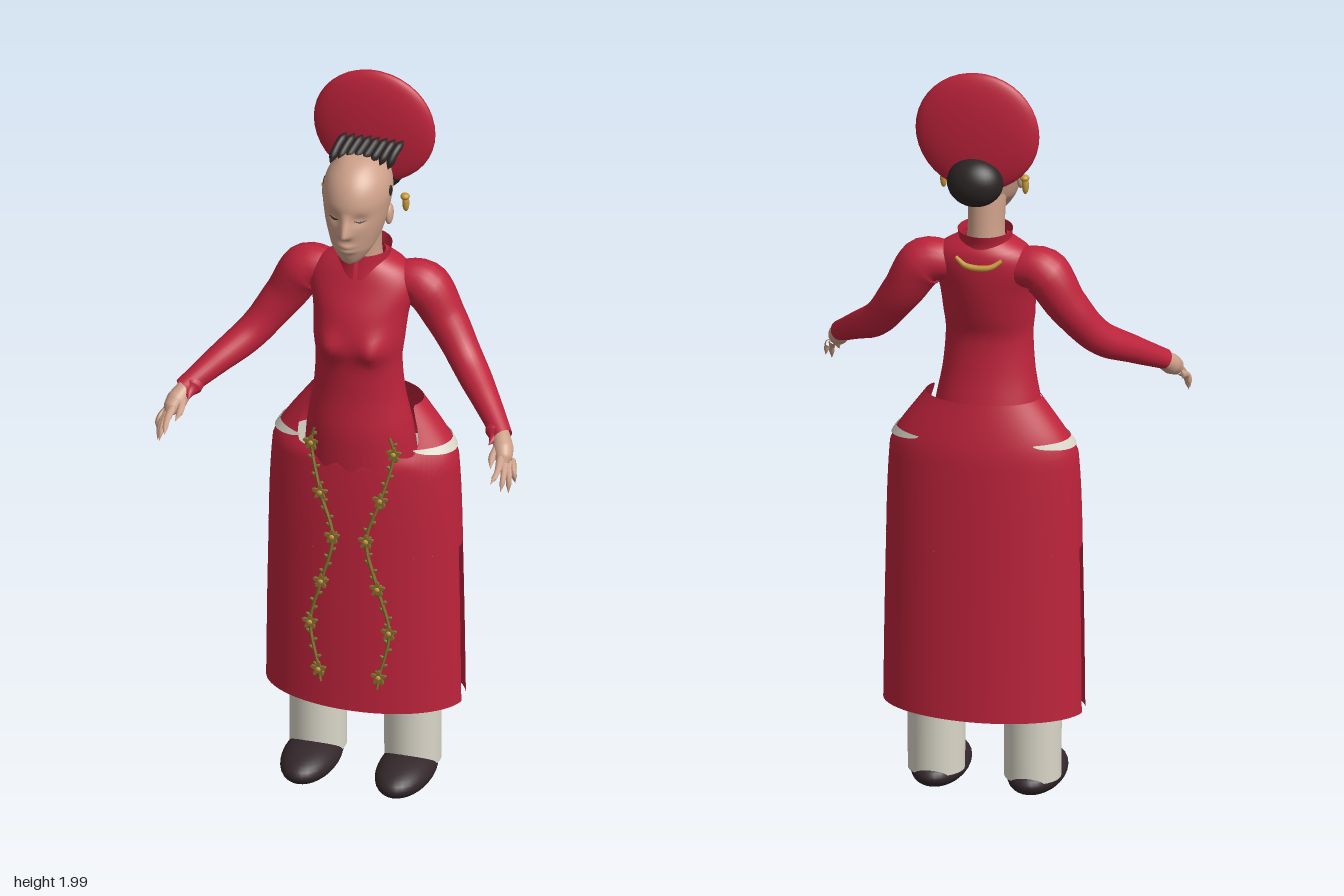
import * as THREE from 'three';

const mat = (name, color, side = THREE.FrontSide) => {
  const m = new THREE.MeshStandardMaterial({ color, side });
  m.name = name;
  return m;
};

// Cross-sections as [y, half width, front z, back z]
const TORSO = [[0.93, 0.15, 0.052, -0.16], [1.05, 0.138, 0.055, -0.14], [1.15, 0.12, 0.047, -0.118],
  [1.25, 0.113, 0.05, -0.11], [1.3, 0.118, 0.06, -0.125], [1.38, 0.125, 0.045, -0.145],
  [1.45, 0.14, 0.015, -0.155], [1.495, 0.115, -0.003, -0.152], [1.53, 0.055, -0.02, -0.13]];
const SKIRT = [[0.25, 0.262, 0.06, -0.24], [0.6, 0.257, 0.053, -0.23], [0.95, 0.245, 0.04, -0.22],
  [1.0, 0.222, 0.02, -0.213], [1.1, 0.15, -0.005, -0.19]];
const HEAD = [[1.556, 0.012, 0.06, 0.02], [1.566, 0.03, 0.07, -0.01], [1.6, 0.054, 0.084, -0.05],
  [1.62, 0.064, 0.088, -0.085], [1.66, 0.076, 0.091, -0.105], [1.7, 0.084, 0.091, -0.12],
  [1.74, 0.088, 0.089, -0.13], [1.78, 0.08, 0.073, -0.127], [1.81, 0.06, 0.045, -0.11],
  [1.828, 0.036, 0.01, -0.075], [1.835, 0.001, -0.03, -0.032]];
const NECK = [[1.46, 0.062, -0.01, -0.13], [1.53, 0.048, -0.018, -0.12], [1.64, 0.05, -0.01, -0.105]];
const COLLAR = [[1.48, 0.078, 0.004, -0.152], [1.51, 0.068, 0.0, -0.145], [1.545, 0.07, -0.003, -0.155]];

// Smooth interpolation between cross-sections
function section(rows, y) {
  let i = 0;
  while (i < rows.length - 2 && y > rows[i + 1][0]) i++;
  const a = rows[i], b = rows[i + 1], h = b[0] - a[0];
  const t = THREE.MathUtils.clamp((y - a[0]) / h, 0, 1);
  const slope = (j, k) => {
    const p = rows[Math.max(j - 1, 0)], q = rows[Math.min(j + 1, rows.length - 1)];
    return (q[k] - p[k]) / (q[0] - p[0]);
  };
  return [1, 2, 3].map(k => a[k] * (1 + 2 * t) * (1 - t) ** 2 + b[k] * t * t * (3 - 2 * t)
    + h * (slope(i, k) * t * (1 - t) ** 2 + slope(i + 1, k) * t * t * (t - 1)));
}
function surface(rows, a, y, grow = 1) {
  const [rx, zf, zb] = section(rows, y);
  return new THREE.Vector3(Math.max(rx, 0) * Math.sin(a) * grow, y,
    (zf + zb) / 2 + (zf - zb) / 2 * Math.cos(a) * grow);
}
function frontZ(rows, x, y) {
  const [rx] = section(rows, y);
  return surface(rows, Math.asin(THREE.MathUtils.clamp(x / rx, -1, 1)), y).z;
}

// Skin over the cross-sections; angle 0 faces front, a positive angle turns to +x
function loft(rows, { y0 = rows[0][0], y1 = rows.at(-1)[0], a0 = -Math.PI, a1 = Math.PI,
  nu = 48, nv = 24, grow = 1, tweak = null }) {
  const closed = a1 - a0 > 6.28, cols = closed ? nu : nu + 1, pos = [], idx = [];
  const at = (v, a) => (typeof v === 'function' ? v(a) : v);
  for (let j = 0; j <= nv; j++) for (let i = 0; i < cols; i++) {
    const a = a0 + (a1 - a0) * i / nu, t = (1 - Math.cos(Math.PI * j / nv)) / 2;
    const p = surface(rows, a, THREE.MathUtils.lerp(at(y0, a), at(y1, a), t), grow);
    if (tweak) tweak(p, a);
    pos.push(p.x, p.y, p.z);
  }
  for (let j = 0; j < nv; j++) for (let i = 0; i < nu; i++) {
    const p = j * cols + i, q = j * cols + (i + 1) % cols;
    idx.push(p, q, q + cols, p, q + cols, p + cols);
  }
  const g = new THREE.BufferGeometry();
  g.setAttribute('position', new THREE.Float32BufferAttribute(pos, 3));
  g.setIndex(idx);
  g.computeVertexNormals();
  return g;
}

// Tube whose radius changes along its path
function limb(points, radii, n = 24, sides = 16) {
  const curve = new THREE.CatmullRomCurve3(points.map(p => new THREE.Vector3(...p)));
  const g = new THREE.TubeGeometry(curve, n, 1, sides), pos = g.attributes.position, v = new THREE.Vector3();
  for (let i = 0; i < pos.count; i++) {
    const t = Math.floor(i / (sides + 1)) / n, f = t * (radii.length - 1), k = Math.min(Math.floor(f), radii.length - 2);
    const c = curve.getPointAt(t), r = THREE.MathUtils.lerp(radii[k], radii[k + 1], f - k);
    v.fromBufferAttribute(pos, i).sub(c).multiplyScalar(r).add(c);
    pos.setXYZ(i, v.x, v.y, v.z);
  }
  g.computeVertexNormals();
  return g;
}
const ball = (x, y, z) => new THREE.SphereGeometry(1, 32, 20).scale(x, y, z);
const bump = (d, w) => Math.exp(-((d / w) ** 2));

export function createModel() {
  const red = mat('red cloth', 0xbe233b, THREE.DoubleSide), skin = mat('skin', 0xcda089);
  const white = mat('white cloth', 0xdad6c8, THREE.DoubleSide), shoeMat = mat('dark shoe', 0x33272a);
  const hair = mat('black hair', 0x2a2423), gold = mat('gold', 0xc4973a), thread = mat('olive thread', 0x84702f);
  const model = new THREE.Group();
  const add = (name, geo, material, x = 0, y = 0, z = 0) => {
    const m = new THREE.Mesh(geo, material);
    m.name = name;
    m.position.set(x, y, z);
    model.add(m);
    return m;
  };

  // Head with nose, eye sockets and lips
  add('head', loft(HEAD, { nu: 96, nv: 72, tweak: (p, a) => {
    if (Math.cos(a) < 0.2) return;
    const ny = p.y > 1.655 ? Math.max(0, 1 - (p.y - 1.655) / 0.06) : Math.max(0, 1 - (1.655 - p.y) / 0.014);
    p.z += 0.026 * ny * bump(p.x, 0.014) + 0.008 * bump(p.x, 0.022) * (bump(p.y - 1.621, 0.006) + bump(p.y - 1.606, 0.006));
    p.z -= 0.009 * bump(Math.abs(p.x) - 0.034, 0.02) * bump(p.y - 1.697, 0.016);
  } }), skin);
  add('neck', loft(NECK, {}), skin);

  // Tunic with bust and ragged front hem
  add('tunic', loft(TORSO, { nu: 80, nv: 48,
    y0: a => 0.965 - 0.025 * Math.abs(((Math.abs(a) * 4) % 2) - 1),
    tweak: (p, a) => {
      if (Math.cos(a) > 0) p.z += 0.02 * bump(Math.abs(p.x) - 0.06, 0.032) * bump(p.y - 1.3, 0.035);
    } }), red);
  add('collar', loft(COLLAR, { a0: 0.08, a1: 2 * Math.PI - 0.08, nv: 8 }), red);
  add('necklaceBack', limb([[-0.06, 1.485, -0.15], [-0.03, 1.467, -0.16], [0.03, 1.467, -0.16], [0.06, 1.485, -0.15]],
    [0.005, 0.008, 0.008, 0.005]), gold);

  // Skirt: closed upper part, then front and back panels with side slits
  const rim = a => 1.1 - 0.12 * THREE.MathUtils.smoothstep(Math.cos(a), 0.4, 0.8);
  add('skirtTop', loft(SKIRT, { y0: 0.7, y1: rim, nu: 80 }), red);
  const slit = 0.13;
  for (const [name, mid] of [['skirtFront', 0], ['skirtBack', Math.PI]])
    add(name, loft(SKIRT, { y1: 0.7, a0: mid - Math.PI / 2 + slit, a1: mid + Math.PI / 2 - slit, nv: 6 }), red);

  // Halo headdress, bun and row of locks
  add('haloDisc', ball(0.162, 0.16, 0.034), red, 0, 1.84, -0.165);
  add('bun', ball(0.073, 0.065, 0.06), hair, 0, 1.712, -0.19);
  for (let i = 0; i < 8; i++) {
    const t = i / 7, x = -0.07 + 0.15 * t, y = 1.803 + 0.02 * Math.sin(Math.PI * t);
    add('hairLock', limb([[x, y, -0.005 - 0.012 * t], [x + 0.01, 1.838, -0.04], [x + 0.024, 1.862, -0.076]],
      [0, 0.011, 0.011, 0.011, 0.011, 0], 12, 10), hair);
  }

  const tips = [[0.434, 1.083, 0.245], [0.454, 1.052, 0.225], [0.467, 1.036, 0.197], [0.477, 1.054, 0.17]];
  for (const s of [-1, 1]) {
    const side = s > 0 ? 'left' : 'right';
    const flip = pts => pts.map(([x, y, z]) => [s * x, y, z]);

    // Sleeve, cuff, palm and fingers
    add(side + 'Sleeve', limb(flip([[0.07, 1.445, -0.085], [0.15, 1.445, -0.09], [0.215, 1.355, -0.085],
      [0.285, 1.26, -0.045], [0.36, 1.2, 0.035], [0.425, 1.15, 0.11]]), [0.045, 0.064, 0.054, 0.046, 0.042, 0.034, 0.026], 40, 24), red);
    add(side + 'Cuff', limb(flip([[0.4, 1.165, 0.085], [0.405, 1.15, 0.115], [0.4, 1.14, 0.15]]), [0.026, 0.026, 0.01, 0]), red);
    add(side + 'Palm', limb(flip([[0.415, 1.157, 0.095], [0.436, 1.125, 0.14], [0.45, 1.098, 0.18]]), [0.02, 0.024, 0.027, 0.022, 0]), skin);
    tips.forEach(([x, y, z], i) => add(side + 'Finger', limb(flip([[0.437 + i * 0.007, 1.12 - i * 0.007, 0.165 - i * 0.009],
      [(x + 0.447 + i * 0.006) / 2, (y + 1.12) / 2, (z + 0.165) / 2], [x, y, z]]), [0.011, 0.01, 0.008, 0.007, 0], 12, 8), skin));
    add(side + 'Thumb', limb(flip([[0.425, 1.14, 0.125], [0.415, 1.12, 0.165], [0.42, 1.1, 0.2]]), [0.013, 0.011, 0.009, 0], 12, 8), skin);

    // Trouser leg, hip gap and shoe
    add(side + 'TrouserLeg', new THREE.CylinderGeometry(0.078, 0.073, 0.9, 32, 1, true), white, s * 0.126, 0.51, -0.086);
    add(side + 'HipBand', loft(SKIRT, { a0: s * Math.PI / 2 - 0.85, a1: s * Math.PI / 2 + 0.85, nv: 2, grow: 1.018,
      y0: a => 0.998 - 0.022 * Math.sqrt(Math.max(0, Math.cos((Math.abs(a) - Math.PI / 2) * 1.84))), y1: 0.999 }), white);
    add(side + 'Shoe', ball(0.073, 0.047, 0.142), shoeMat, s * 0.126, 0.054, -0.032);

    // Ear, earring, sideburn and closed eye
    add(side + 'Ear', ball(0.01, 0.028, 0.018), skin, s * 0.081, 1.668, -0.03).rotation.x = -0.2;
    add(side + 'Earring', ball(0.009, 0.024, 0.009), gold, s * 0.107, 1.673, -0.087);
    add(side + 'EarringStud', ball(0.012, 0.009, 0.012), gold, s * 0.105, 1.692, -0.087);
    add(side + 'Sideburn', ball(0.004, 0.015, 0.011), hair, s * 0.087, 1.743, -0.018);
    const lash = [0.02, 0.034, 0.05].map((x, i) => [x, i === 1 ? 1.691 : 1.695, frontZ(HEAD, x, 1.693) - 0.006]);
    add(side + 'Lashes', limb(flip(lash), [0.001, 0.0025, 0.001], 10, 6), hair);

    // Embroidered vine with leaves and flowers
    const cloth = (x, y) => (y > 0.96 ? Math.max(frontZ(TORSO, x, y), y < 1 ? frontZ(SKIRT, x, y) : -1) : frontZ(SKIRT, x, y)) + 0.008;
    const path = [[0.1, 1.05], [0.11, 1.0], [0.08, 0.87], [0.045, 0.75], [0.075, 0.615], [0.105, 0.49], [0.08, 0.36], [0.075, 0.325]]
      .map(([x, y]) => [x, y, cloth(x, y)]);
    add(side + 'Vine', limb(flip(path), [0.004, 0.005, 0.004], 60, 6), thread);
    const curve = new THREE.CatmullRomCurve3(flip(path).map(p => new THREE.Vector3(...p)));
    for (let i = 1; i < 32; i++) {
      const p = curve.getPointAt(i / 32), d = i % 2 ? 1 : -1;
      add('leaf', ball(0.009, 0.005, 0.003), thread, p.x + d * 0.006, p.y, p.z).rotation.z = d * 0.6;
    }
    for (const [x, y, z] of flip(path.slice(1, 7))) {
      const pts = Array.from({ length: 30 }, (_, k) => {
        const t = k / 30 * Math.PI * 2, r = 0.016 + 0.006 * Math.cos(5 * t);
        return new THREE.Vector2(r * Math.sin(t), r * Math.cos(t));
      });
      add('flower', new THREE.ExtrudeGeometry(new THREE.Shape(pts), { depth: 0.007, bevelEnabled: false }), thread, x, y, z);
      add('flowerCentre', ball(0.007, 0.007, 0.004), gold, x, y, z + 0.007);
    }
  }
  return model;
}
